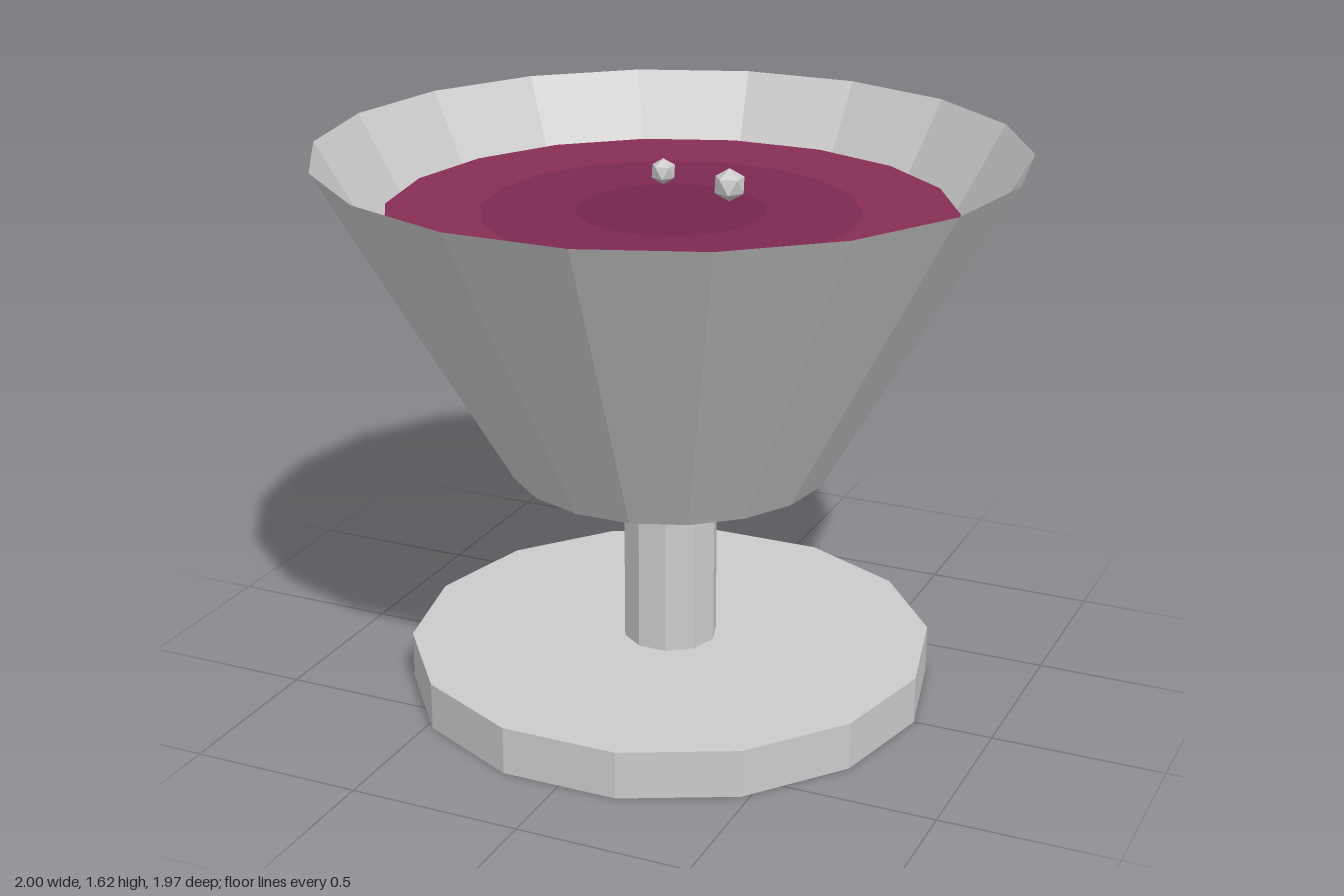
import * as THREE from 'three';

const grey = new THREE.MeshStandardMaterial({ color: 0xcccccc, flatShading: true });
const greyThin = new THREE.MeshStandardMaterial({ color: 0xcccccc, flatShading: true, side: THREE.DoubleSide });
const wine = (color) => new THREE.MeshStandardMaterial({ color, flatShading: true });

export function createModel() {
  const group = new THREE.Group();

  function add(name, geometry, material, x = 0, y = 0, z = 0) {
    const mesh = new THREE.Mesh(geometry, material);
    mesh.name = name;
    mesh.position.set(x, y, z);
    group.add(mesh);
    return mesh;
  }

  // Faceted cylinder from y0 to y1 with a corner on the x axis
  function drum(name, rTop, rBottom, y0, y1, sides, material, open = false) {
    const geometry = new THREE.CylinderGeometry(rTop, rBottom, y1 - y0, sides, 1, open, Math.PI / 2);
    return add(name, geometry, material, 0, (y0 + y1) / 2, 0);
  }

  // Flat disc or ring facing up
  function disc(name, inner, outer, y, material) {
    const geometry = inner > 0
      ? new THREE.RingGeometry(inner, outer, 18, 1)
      : new THREE.CircleGeometry(outer, 18);
    geometry.rotateX(-Math.PI / 2);
    return add(name, geometry, material, 0, y, 0);
  }

  // Foot and stem
  drum('foot', 0.767, 0.767, 0, 0.14, 14, grey);
  drum('stem', 0.138, 0.138, 0.14, 0.68, 10, grey);

  // Thin flared bowl with a closed floor
  drum('bowl', 1, 0.463, 0.68, 1.615, 18, greyThin, true);
  disc('bowlFloor', 0, 0.463, 0.68, greyThin);

  // Drink: smaller copy of the bowl shape, its surface darker towards the middle
  drum('drinkSide', 0.805, 0.373, 0.69, 1.44, 18, wine(0x882e55), true);
  disc('drinkOuterRing', 0.535, 0.805, 1.44, wine(0x882e55));
  disc('drinkMiddleRing', 0.268, 0.535, 1.44, wine(0x7d2952));
  disc('drinkCentre', 0, 0.268, 1.44, wine(0x75254e));

  // Bubbles resting on the drink, one corner pointing up
  for (const [x, y, z, r] of [[0.135, 1.5, -0.1, 0.048], [-0.095, 1.5, -0.16, 0.038]]) {
    const geometry = new THREE.IcosahedronGeometry(r, 0);
    geometry.rotateZ(Math.atan(2 / (1 + Math.sqrt(5))));
    add('bubble', geometry, grey, x, y, z);
  }

  return group;
}
